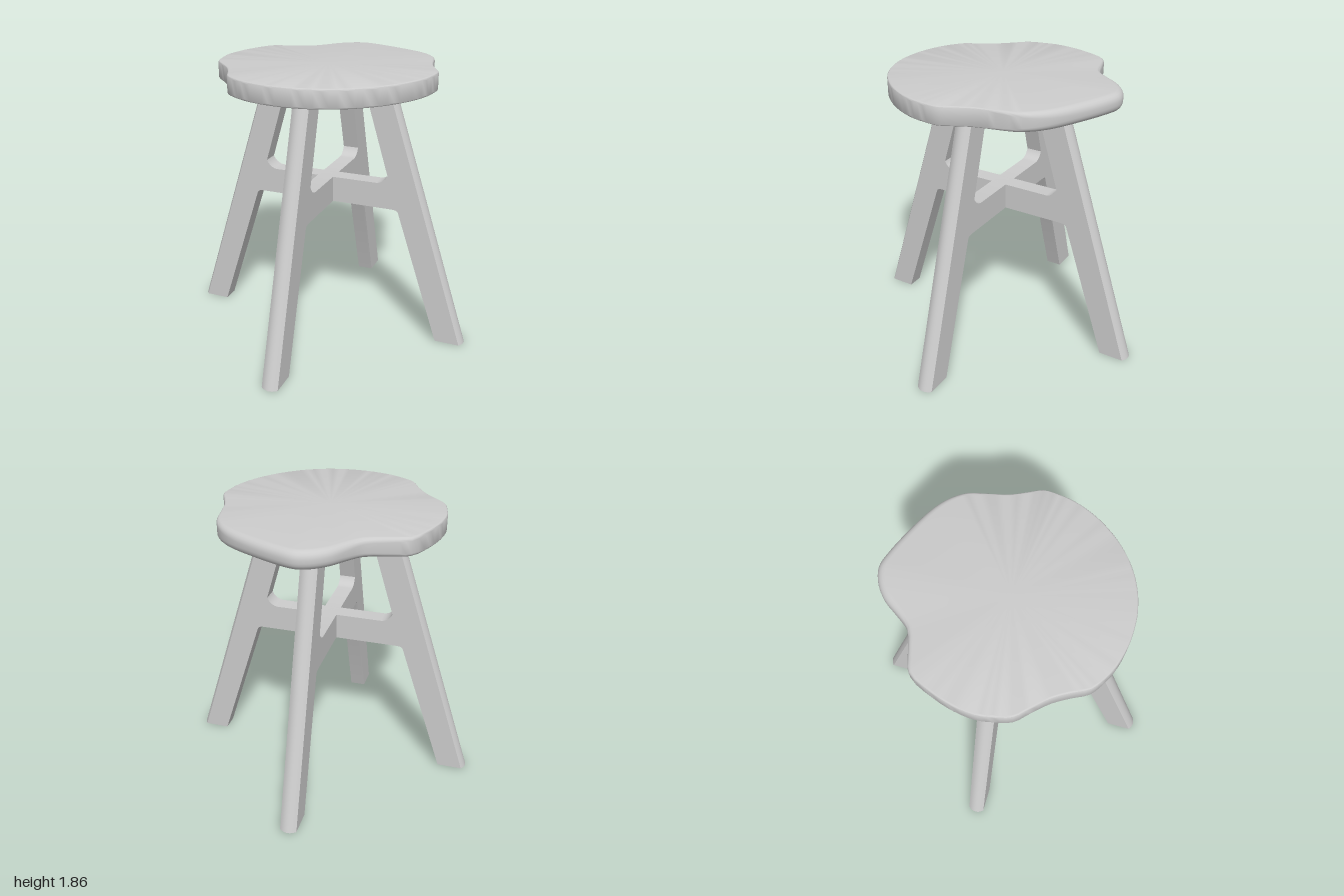
import * as THREE from 'three';
import { toCreasedNormals } from 'three/addons/utils/BufferGeometryUtils.js';

const material = new THREE.MeshStandardMaterial({ color: 0xcccccc });
const SEAT_BOTTOM = 1.735, SEAT_TOP = 1.855, HALF = 0.055;

// Irregular slab outline as x, z pairs, starting at the back and running past the left (+x) side
const OUTLINE = [
  0, -0.8, 0.09, -0.775, 0.25, -0.71, 0.44, -0.61, 0.53, -0.53, 0.585, -0.44, 0.61, -0.32, 0.64, -0.19,
  0.69, -0.08, 0.725, 0, 0.72, 0.1, 0.7, 0.2, 0.65, 0.32, 0.58, 0.43, 0.48, 0.54, 0.36, 0.63,
  0.23, 0.69, 0.1, 0.72, 0, 0.725, -0.12, 0.715, -0.25, 0.68, -0.34, 0.635, -0.42, 0.575, -0.47, 0.48,
  -0.53, 0.38, -0.61, 0.29, -0.69, 0.205, -0.72, 0.1, -0.735, 0, -0.72, -0.13, -0.68, -0.26, -0.6, -0.42,
  -0.5, -0.46, -0.35, -0.515, -0.28, -0.6, -0.21, -0.7, -0.13, -0.765, -0.05, -0.797,
];

// Seat: rings stacked around the outline, with a softer rim towards the back
function seatGeometry() {
  const points = [];
  for (let i = 0; i < OUTLINE.length; i += 2) points.push(new THREE.Vector3(OUTLINE[i], 0, OUTLINE[i + 1]));
  const curve = new THREE.CatmullRomCurve3(points, true);
  const n = 114, arc = 5, rings = 2 * arc + 2;
  const position = [], index = [];
  for (let j = 0; j < rings; j++) {
    const upper = j > arc;
    const angle = ((upper ? j - arc - 1 : arc - j) / arc) * Math.PI / 2;
    for (let i = 0; i < n; i++) {
      const p = curve.getPoint(i / n), t = curve.getTangent(i / n);
      const r = 0.013 + 0.037 * THREE.MathUtils.smoothstep(-p.z, 0.25, 0.75);
      const inset = r * (1 - Math.cos(angle)), rise = r * (1 - Math.sin(angle));
      position.push(p.x - t.z * inset, upper ? SEAT_TOP - rise : SEAT_BOTTOM + rise, p.z + t.x * inset);
    }
  }
  const bottom = rings * n, top = bottom + 1;
  position.push(0, SEAT_BOTTOM, 0, 0, SEAT_TOP, 0);
  for (let i = 0; i < n; i++) {
    const k = (i + 1) % n;
    for (let j = 0; j < rings - 1; j++) {
      const a = j * n + i, b = j * n + k;
      index.push(a, b + n, b, a, a + n, b + n);
    }
    index.push(bottom, i, k, top, (rings - 1) * n + k, (rings - 1) * n + i);
  }
  const geometry = new THREE.BufferGeometry();
  geometry.setAttribute('position', new THREE.Float32BufferAttribute(position, 3));
  geometry.setIndex(index);
  return toCreasedNormals(geometry, 0.6);
}

// Leg frame: two splayed legs and their stretcher, cut from one flat piece
function frameGeometry() {
  const topY = SEAT_BOTTOM + 0.005;
  const s = new THREE.Shape();
  s.moveTo(-1, 0);
  s.lineTo(-0.81, 0);
  s.lineTo(-0.515, 0.905);
  s.quadraticCurveTo(-0.508, 0.925, -0.47, 0.925);
  s.lineTo(0.47, 0.925);
  s.quadraticCurveTo(0.508, 0.925, 0.515, 0.905);
  s.lineTo(0.81, 0);
  s.lineTo(1, 0);
  s.lineTo(0.45, topY);
  s.lineTo(0.262, topY);
  s.lineTo(0.435, 1.155);
  s.bezierCurveTo(0.43, 1.14, 0.405, 1.1, 0.36, 1.098);
  s.lineTo(-0.36, 1.098);
  s.bezierCurveTo(-0.405, 1.1, -0.43, 1.14, -0.435, 1.155);
  s.lineTo(-0.262, topY);
  s.lineTo(-0.45, topY);
  s.closePath();
  const geometry = new THREE.ExtrudeGeometry(s, { depth: 2 * HALF, steps: 8, bevelEnabled: false, curveSegments: 6 });
  geometry.translate(0, 0, -HALF);

  // Round the outer edge of each leg across its thickness
  const p = geometry.attributes.position;
  for (let i = 0; i < p.count; i++) {
    const x = p.getX(i), y = p.getY(i), z = p.getZ(i) / HALF;
    const outerX = 1 - 0.55 * y / topY;
    if (Math.abs(Math.abs(x) - outerX) < 0.001) p.setX(i, x - Math.sign(x) * 0.024 * z * z);
  }
  return toCreasedNormals(geometry, 0.5);
}

export function createModel() {
  const stool = new THREE.Group();
  stool.name = 'stool';

  const seat = new THREE.Mesh(seatGeometry(), material);
  seat.name = 'seat';
  stool.add(seat);

  // Two identical frames crossing at the middle
  const frame = frameGeometry();
  ['sideLegFrame', 'frontBackLegFrame'].forEach((name, i) => {
    const mesh = new THREE.Mesh(frame, material);
    mesh.name = name;
    mesh.rotation.y = i * Math.PI / 2;
    stool.add(mesh);
  });
  return stool;
}
